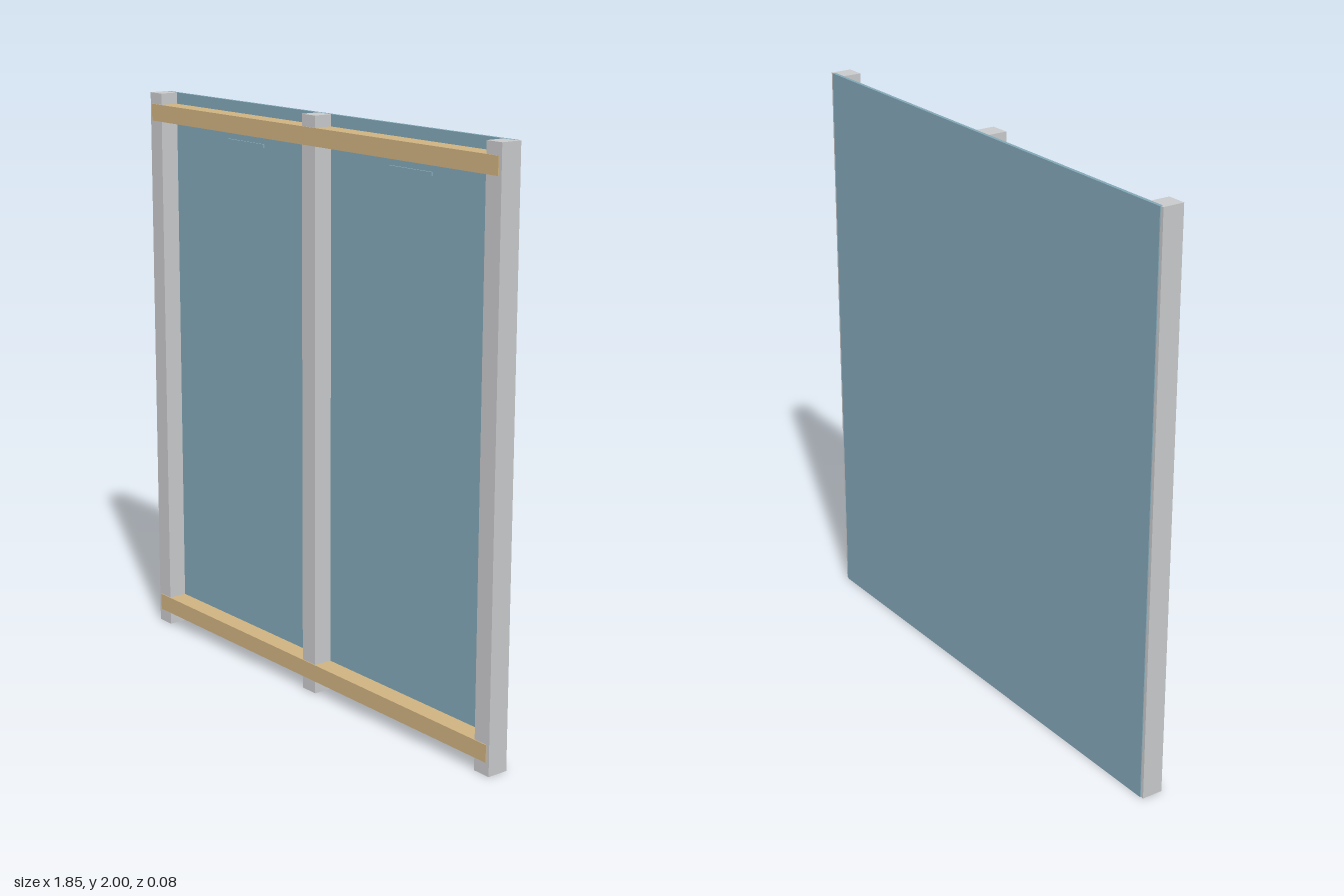
import * as THREE from 'three';

export function createModel() {
  const model = new THREE.Group();
  model.name = 'framedPanel';

  const mat = (name, color) => {
    const m = new THREE.MeshStandardMaterial({ color });
    m.name = name;
    return m;
  };
  const grey = mat('grey post', 0xc8c9cb);
  const tan = mat('tan timber', 0xcfb280);
  const blue = mat('blue panel', 0x82a7b7);

  // Box given by its lower and upper corners
  const box = (name, material, [x0, y0, z0], [x1, y1, z1]) => {
    const mesh = new THREE.Mesh(new THREE.BoxGeometry(x1 - x0, y1 - y0, z1 - z0), material);
    mesh.position.set((x0 + x1) / 2, (y0 + y1) / 2, (z0 + z1) / 2);
    mesh.name = name;
    model.add(mesh);
  };

  // Backing sheet, seated in the rebates of the side posts
  box('backPanel', blue, [-0.911, 0, -0.041], [0.911, 2, -0.029]);

  // Centre post
  box('centrePost', grey, [-0.035, 0, -0.029], [0.035, 2, 0.038]);

  // Side posts, rebated at the back with a narrow lip outside the sheet
  for (const s of [-1, 1]) {
    const section = new THREE.Shape([
      [0.855, 0.029], [0.911, 0.029], [0.911, 0.038],
      [0.923, 0.038], [0.923, -0.038], [0.855, -0.038],
    ].map(([x, y]) => new THREE.Vector2(s * x, y)));
    const geo = new THREE.ExtrudeGeometry(section, { depth: 2, bevelEnabled: false });
    geo.rotateX(-Math.PI / 2);
    const post = new THREE.Mesh(geo, grey);
    post.name = s > 0 ? 'leftPost' : 'rightPost';
    model.add(post);

    // Slim bar near the top of each bay
    const x = s * 0.436;
    box('slimBar', blue, [x - 0.106, 1.854, -0.03], [x + 0.106, 1.866, -0.023]);
  }

  // Cross rails, standing just proud of the posts
  box('bottomRail', tan, [-0.911, 0.045, -0.029], [0.911, 0.105, 0.041]);
  box('topRail', tan, [-0.911, 1.9, -0.029], [0.911, 1.96, 0.041]);

  return model;
}
